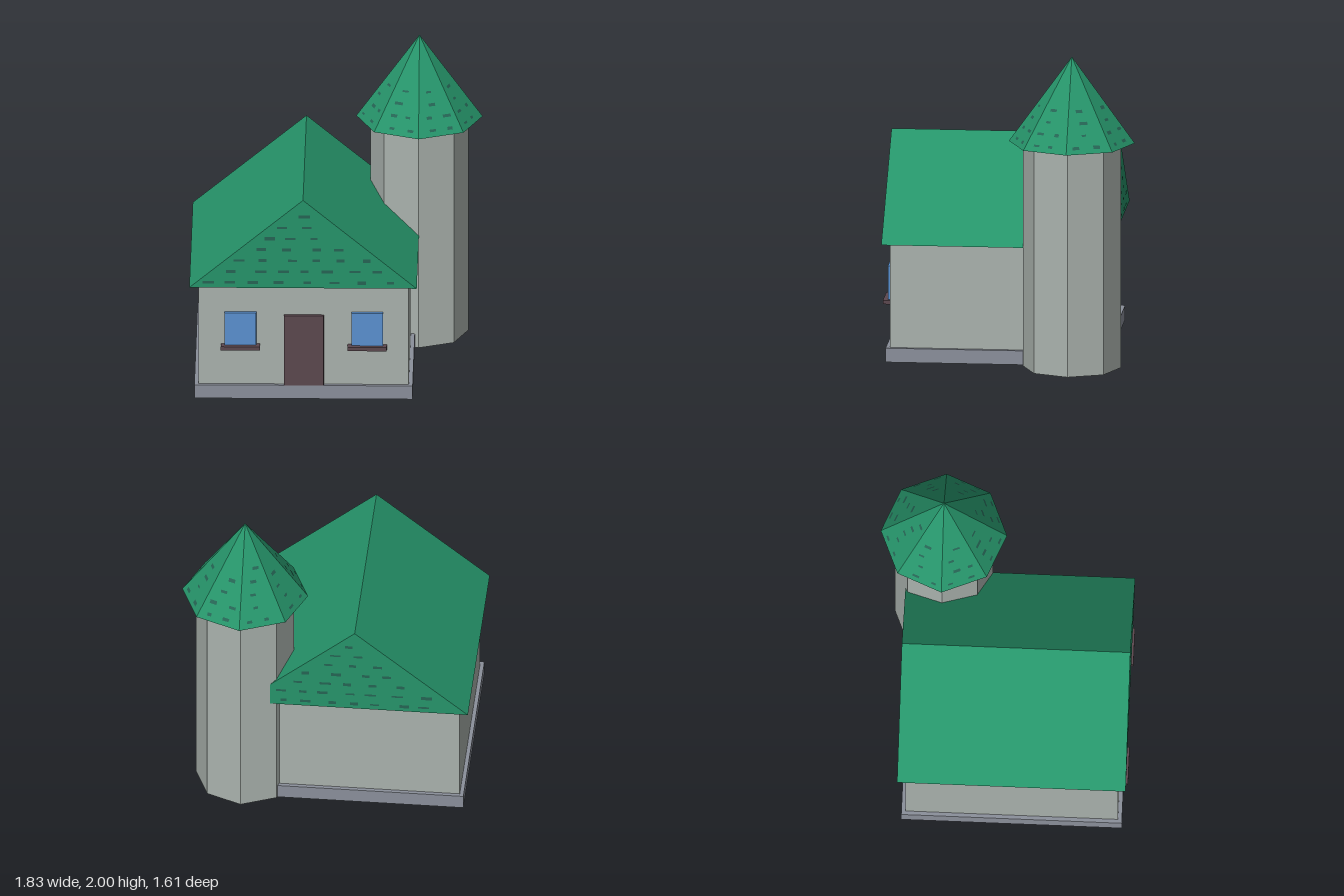
import * as THREE from 'three';
import { mergeGeometries } from 'three/addons/utils/BufferGeometryUtils.js';

const V = (x, y, z) => new THREE.Vector3(x, y, z);

export function createModel() {
  const model = new THREE.Group();
  const paint = (name, color, flatShading = false) => {
    const m = new THREE.MeshStandardMaterial({ color, flatShading });
    m.name = name;
    return m;
  };
  const stone = paint('wall stone', 0xaab2ad, true);
  const plinth = paint('base stone', 0x8b909b);
  const green = paint('roof green', 0x26946a, true);
  const darkGreen = paint('dark shingle', 0x256454);
  const wood = paint('dark wood', 0x5c484f);
  const glass = paint('window blue', 0x5a91d0);

  const add = (name, geometry, material, x = 0, y = 0, z = 0) => {
    const mesh = new THREE.Mesh(geometry, material);
    mesh.name = name;
    mesh.position.set(x, y, z);
    model.add(mesh);
    return mesh;
  };
  // Box given by its lowest and highest corners
  const box = (name, material, [x0, y0, z0], [x1, y1, z1]) =>
    add(name, new THREE.BoxGeometry(x1 - x0, y1 - y0, z1 - z0), material,
      (x0 + x1) / 2, (y0 + y1) / 2, (z0 + z1) / 2);

  // House body
  const cx = -0.2, cz = 0.08;
  box('base', plinth, [cx - 0.685, 0, cz - 0.695], [cx + 0.69, 0.09, cz + 0.695]);
  box('walls', stone, [cx - 0.66, 0.09, cz - 0.67], [cx + 0.665, 0.765, cz + 0.67]);
  box('door', wood, [-0.32, 0.09, 0.74], [-0.07, 0.56, 0.775]);
  for (const x of [-0.595, 0.204]) {
    box('window', glass, [x - 0.1, 0.35, 0.74], [x + 0.1, 0.58, 0.777]);
    box('windowSill', wood, [x - 0.123, 0.337, 0.74], [x + 0.123, 0.362, 0.807]);
  }

  // Gabled roof
  const eave = 0.76, ridge = 1.355, half = 0.716, depth = 1.44;
  const gable = new THREE.Shape([
    new THREE.Vector2(-half, eave), new THREE.Vector2(half, eave), new THREE.Vector2(0, ridge),
  ]);
  add('houseRoof', new THREE.ExtrudeGeometry(gable, { depth, bevelEnabled: false }),
    green, cx, 0, cz - depth / 2);

  // Eight-sided tower with its pointed roof
  const tx = 0.515, tz = -0.405, coneR = 0.398, coneY = 1.45;
  add('tower', new THREE.CylinderGeometry(0.31, 0.31, coneY, 8), stone, tx, coneY / 2, tz);
  add('towerRoof', new THREE.ConeGeometry(coneR, 2 - coneY, 8), green, tx, 1 + coneY / 2, tz);

  // Dark shingles: thin dashes laid in rows on a face a-b (bottom) to c-d (top)
  let seed = 7;
  const rand = () => (seed = (seed * 16807) % 2147483647) / 2147483647;
  const shingles = (name, a, b, c, d, rows, pitch) => {
    const u = b.clone().sub(a).normalize();
    const n = u.clone().cross(c.clone().sub(a)).normalize();
    const v = n.clone().cross(u);
    const parts = [];
    for (let i = 0; i < rows; i++) {
      const t = (i + 0.5) / rows;
      const left = a.clone().lerp(c, t), right = b.clone().lerp(d, t);
      const width = left.distanceTo(right);
      for (let s = pitch * (0.5 + 0.5 * rand()); s < width - pitch * 0.4; s += pitch * (0.8 + 0.5 * rand())) {
        const w = pitch * (0.25 + 0.25 * rand()), h = 0.012 + 0.012 * rand();
        const p = left.clone().addScaledVector(u, s).addScaledVector(n, 0.002);
        parts.push(new THREE.PlaneGeometry(w, h)
          .applyMatrix4(new THREE.Matrix4().makeBasis(u, v, n).setPosition(p)));
      }
    }
    if (parts.length) add(name, mergeGeometries(parts), darkGreen);
  };

  // Both gables and both slopes of the house roof
  const zf = cz + depth / 2, zb = cz - depth / 2, xl = cx - half, xr = cx + half;
  const topF = V(cx, ridge, zf), topB = V(cx, ridge, zb);
  shingles('frontGableShingles', V(xl, eave, zf), V(xr, eave, zf), topF, topF, 8, 0.15);
  shingles('backGableShingles', V(xr, eave, zb), V(xl, eave, zb), topB, topB, 8, 0.15);
  shingles('rightSlopeShingles', V(xl, eave, zb), topB, V(xl, eave, zf), topF, 9, 0.16);
  shingles('leftSlopeShingles', V(xr, eave, zf), topF, V(xr, eave, zb), topB, 9, 0.16);

  // The eight faces of the tower roof
  const tip = V(tx, 2, tz);
  const rim = (i) => V(tx + coneR * Math.sin(i * Math.PI / 4), coneY, tz + coneR * Math.cos(i * Math.PI / 4));
  for (let i = 0; i < 8; i++) {
    shingles('towerRoofShingles', rim(i), rim(i + 1), tip, tip, 8, 0.11);
  }
  return model;
}
